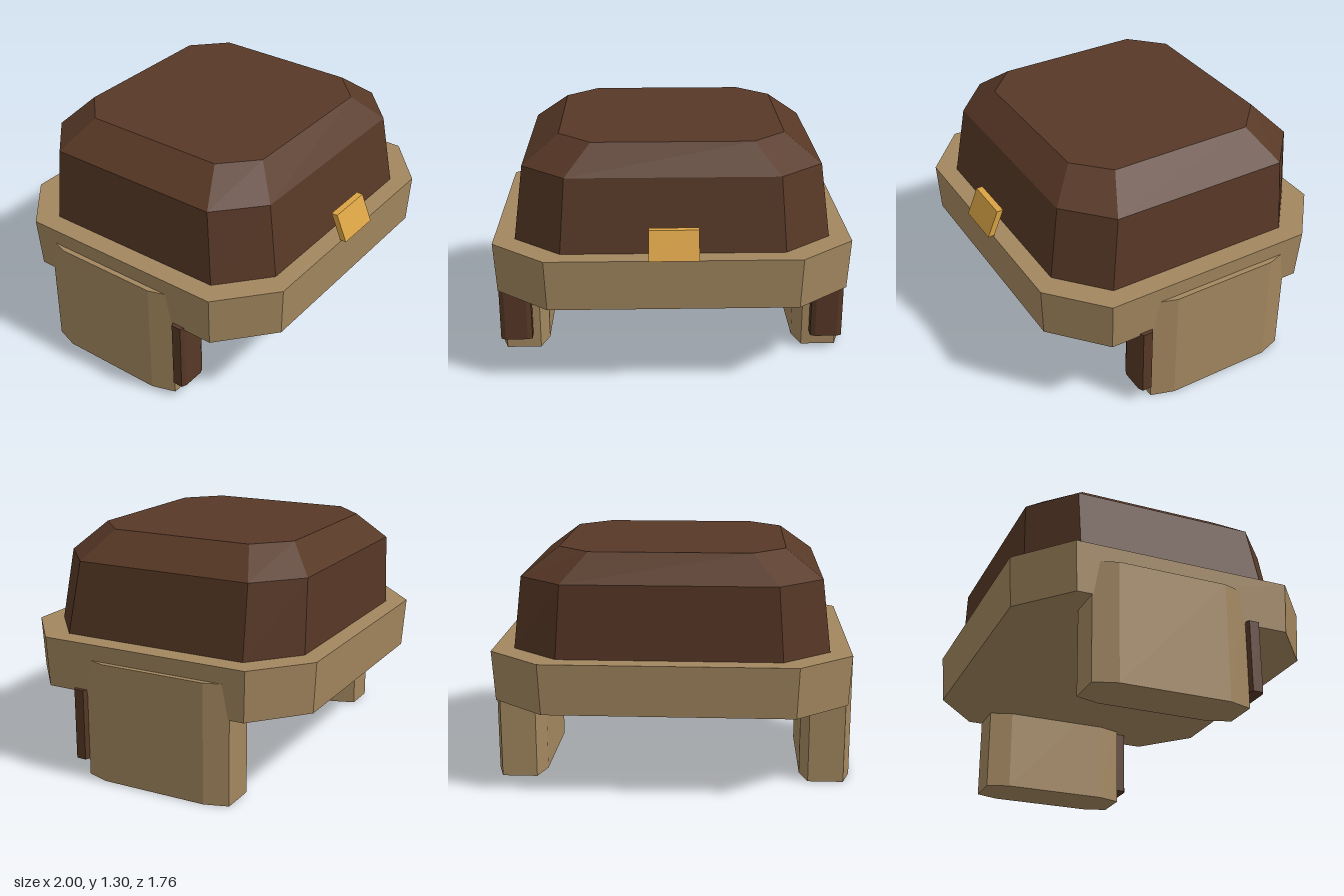
import * as THREE from 'three';

const mat = (name, color) => {
  const m = new THREE.MeshStandardMaterial({ color });
  m.name = name;
  return m;
};

// Octagon in the xz plane; cx, cz are the corner cuts along x and z
function octagon(y, x0, x1, z0, z1, cx, cz) {
  return [
    [x1 - cx, z1], [x1, z1 - cz], [x1, z0 + cz], [x1 - cx, z0],
    [x0 + cx, z0], [x0, z0 + cz], [x0, z1 - cz], [x0 + cx, z1],
  ].map(([x, z]) => [x, y, z]);
}

// Closed faceted solid through octagon rings, listed from bottom to top
function loft(rings) {
  const p = [];
  const n = 8;
  for (let r = 0; r < rings.length - 1; r++) {
    const lo = rings[r], hi = rings[r + 1];
    for (let i = 0; i < n; i++) {
      const j = (i + 1) % n;
      p.push(...lo[i], ...lo[j], ...hi[j], ...lo[i], ...hi[j], ...hi[i]);
    }
  }
  const bottom = rings[0], top = rings[rings.length - 1];
  for (let i = 1; i < n - 1; i++) {
    p.push(...top[0], ...top[i], ...top[i + 1]);
    p.push(...bottom[0], ...bottom[i + 1], ...bottom[i]);
  }
  const g = new THREE.BufferGeometry();
  g.setAttribute('position', new THREE.Float32BufferAttribute(p, 3));
  g.computeVertexNormals();
  return g;
}

export function createModel() {
  const model = new THREE.Group();
  model.name = 'helmet';
  const tan = mat('tan', 0xa3875f);
  const brown = mat('dark brown', 0x573826);
  const gold = mat('gold', 0xdaa344);

  const add = (name, geometry, material) => {
    const mesh = new THREE.Mesh(geometry, material);
    mesh.name = name;
    model.add(mesh);
    return mesh;
  };

  // Wide band around the head
  add('brim', loft([
    octagon(0.475, -0.96, 0.96, -0.862, 0.83, 0.29, 0.25),
    octagon(0.755, -0.975, 0.975, -0.88, 0.842, 0.295, 0.255),
  ]), tan);

  // Domed top with a bevelled shoulder
  add('crown', loft([
    octagon(0.75, -0.86, 0.86, -0.778, 0.74, 0.26, 0.225),
    octagon(1.155, -0.81, 0.81, -0.772, 0.675, 0.24, 0.217),
    octagon(1.305, -0.613, 0.613, -0.632, 0.53, 0.18, 0.172),
  ]), brown);

  // Cheek guards with a dark strip on the front edge, on both sides
  for (const [side, s] of [['left', 1], ['right', -1]]) {
    const block = (y, a, b, z0, z1, cx, cz) =>
      octagon(y, Math.min(s * a, s * b), Math.max(s * a, s * b), z0, z1, cx, cz);
    add(side + 'CheekGuard', loft([
      block(0, 0.72, 1, -0.53, 0.335, 0.042, 0.13),
      block(0.665, 0.72, 1, -0.53, 0.335, 0.042, 0.13),
    ]), tan);
    add(side + 'CheekStrip', loft([
      block(0.09, 0.803, 0.983, 0.335, 0.415, 0.027, 0.012),
      block(0.49, 0.803, 0.983, 0.335, 0.415, 0.027, 0.012),
    ]), brown);
  }

  // Slanted brow badge
  const badge = new THREE.BoxGeometry(0.264, 0.148, 0.036);
  badge.applyMatrix4(new THREE.Matrix4().set(
    1, 0, 0, 0,
    0, 1, 0, 0.841,
    0, -0.43, 1, 0.827,
    0, 0, 0, 1,
  ));
  badge.computeVertexNormals();
  add('browBadge', badge, gold);

  return model;
}
